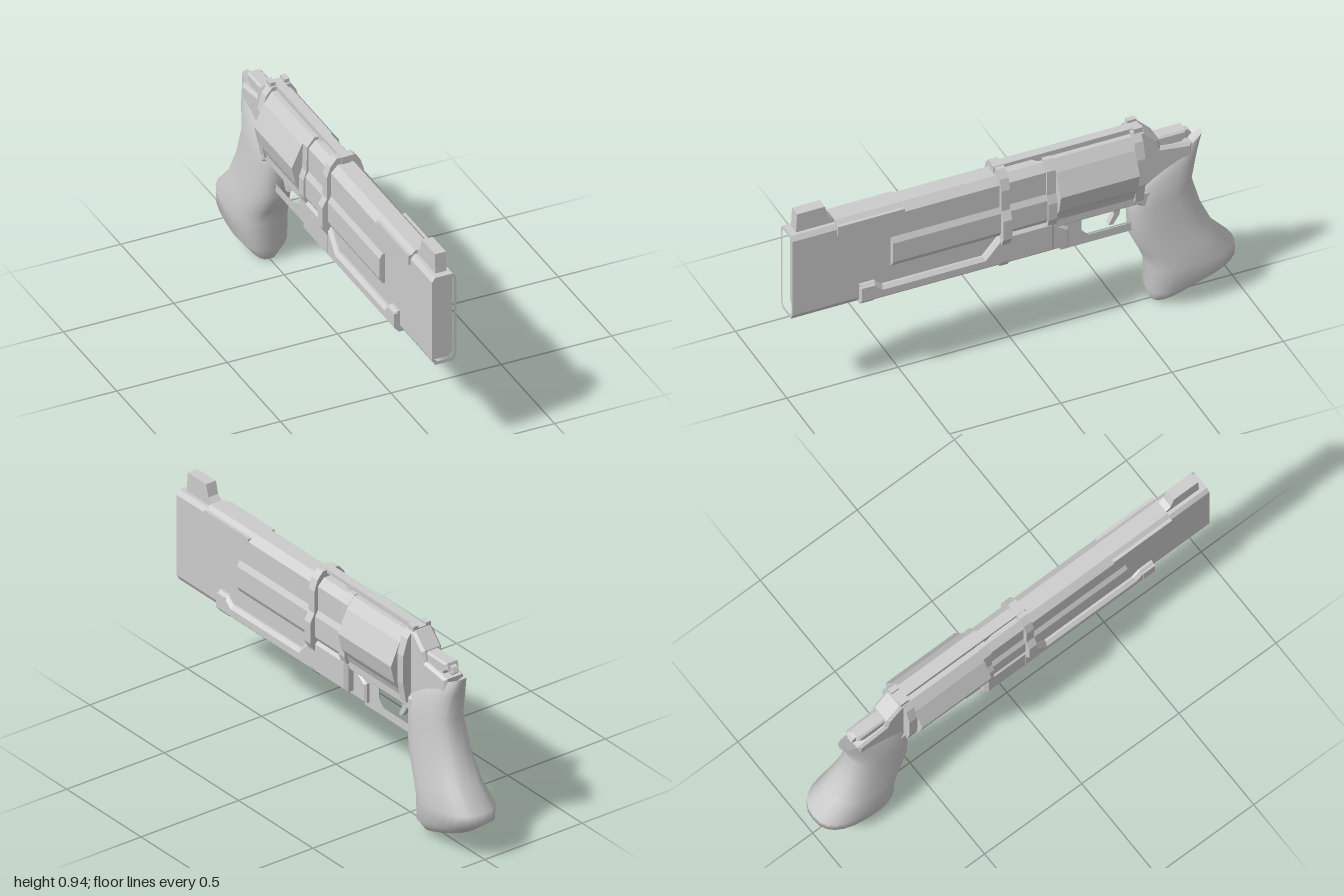
import * as THREE from 'three';

export function createModel() {
  const root = new THREE.Group();
  const flat = new THREE.MeshStandardMaterial({ color: 0xcccccc, flatShading: true });
  const smooth = new THREE.MeshStandardMaterial({ color: 0xcccccc, side: THREE.DoubleSide });

  const add = (name, geometry, material = flat) => {
    const mesh = new THREE.Mesh(geometry, material);
    mesh.name = name;
    root.add(mesh);
    return mesh;
  };
  const toShape = pts => new THREE.Shape(pts.map(p => new THREE.Vector2(...p)));
  const mirrored = half => [...half, ...half.map(([x, y]) => [-x, y]).reverse()];

  // Symmetric cross-section (right half, top to bottom) swept along z
  const section = (name, half, z0, z1, hole) => {
    const shape = toShape(mirrored(half));
    if (hole) shape.holes.push(toShape(mirrored(hole)));
    const g = new THREE.ExtrudeGeometry(shape, { depth: z1 - z0, bevelEnabled: false });
    return add(name, g.translate(0, 0, z0));
  };
  // Side outline in (z, y) given a half width in x, with optional chamfer
  const plate = (name, pts, w, bevel = 0, hole) => {
    const shape = toShape(pts);
    if (hole) shape.holes.push(toShape(hole));
    const depth = 2 * (w - bevel);
    const g = new THREE.ExtrudeGeometry(shape, {
      depth, bevelEnabled: bevel > 0, bevelThickness: bevel,
      bevelSize: bevel, bevelOffset: -bevel, bevelSegments: 1,
    });
    return add(name, g.translate(0, 0, -depth / 2).rotateY(-Math.PI / 2));
  };
  const box = (name, w, y0, y1, z0, z1) =>
    add(name, new THREE.BoxGeometry(2 * w, y1 - y0, z1 - z0).translate(0, (y0 + y1) / 2, (z0 + z1) / 2));

  // Barrel with a recessed muzzle
  const barrel = [[0.04, 0.855], [0.055, 0.835], [0.055, 0.46], [0.04, 0.435]];
  const bore = [[0.032, 0.842], [0.044, 0.828], [0.044, 0.464], [0.032, 0.45]];
  section('barrel', barrel, -0.17, 0.96);
  section('muzzleRim', barrel, 0.96, 1, bore);

  // Upper shroud
  section('barrelShroud', [[0.035, 0.872], [0.066, 0.84], [0.066, 0.73], [0.08, 0.705],
    [0.08, 0.61], [0.066, 0.585]], -0.15, 0.56);
  plate('shroudNose', [[0.8, 0.855], [0.8, 0.81], [0.68, 0.81], [0.56, 0.725], [0.5, 0.725], [0.5, 0.855]], 0.066);
  section('topRib', [[0.035, 0.872], [0.066, 0.84], [0.066, 0.82]], 0.5, 0.8);

  // Lower shroud with its raised front hook
  plate('lowerShroud', [[0.7, 0.437], [0.7, 0.53], [0.635, 0.53], [0.6, 0.5], [0.15, 0.5],
    [0.07, 0.59], [-0.17, 0.59], [-0.17, 0.437]], 0.08, 0.015);
  section('lowerHook', [[0.082, 0.52], [0.082, 0.455], [0.06, 0.43]], 0.64, 0.7);
  plate('underlug', [[0.11, 0.45], [0.11, 0.43], [0.08, 0.41], [-0.25, 0.41], [-0.25, 0.5], [-0.17, 0.55], [-0.1, 0.5]], 0.04, 0.008);

  // Bands round the barrel
  section('frontBand', [[0.04, 0.902], [0.068, 0.87], [0.084, 0.82], [0.084, 0.72], [0.105, 0.68],
    [0.105, 0.585], [0.082, 0.545], [0.082, 0.46], [0.06, 0.425]], 0.035, 0.075);
  section('rearBand', [[0.04, 0.885], [0.072, 0.845], [0.076, 0.73], [0.09, 0.69],
    [0.09, 0.61], [0.078, 0.575]], -0.175, -0.135);

  // Top strap raised above the shroud, with front and rear sights
  plate('topStrap', [[0.08, 0.905], [0.08, 0.86], [0.04, 0.86], [0.04, 0.889], [-0.09, 0.889],
    [-0.13, 0.865], [-0.58, 0.865], [-0.58, 0.905]], 0.02);
  plate('frontSight', [[0.97, 0.85], [0.965, 0.945], [0.84, 0.945], [0.825, 0.89], [0.795, 0.865], [0.795, 0.85]], 0.025);
  for (const s of [-1, 1])
    box('rearSight', 0.012, 0.86, 0.917, -0.58, -0.54).position.x = s * 0.032;

  // Faceted cylinder
  section('cylinder', [[0.042, 0.882], [0.078, 0.835], [0.123, 0.735], [0.105, 0.655],
    [0.078, 0.615], [0.06, 0.57]], -0.53, -0.175);

  // Frame below and behind the cylinder
  plate('lowerFrame', [[-0.15, 0.6], [-0.17, 0.54], [-0.55, 0.54], [-0.6, 0.5], [-0.62, 0.6]], 0.065, 0.01);
  section('recoilShield', [[0.04, 0.9], [0.068, 0.865], [0.09, 0.79], [0.09, 0.66], [0.075, 0.57]], -0.57, -0.53);
  plate('rearFrame', [[-0.55, 0.9], [-0.585, 0.9], [-0.65, 0.835], [-0.66, 0.79], [-0.8, 0.77],
    [-0.8, 0.62], [-0.62, 0.5], [-0.55, 0.56]], 0.05, 0.012);

  // Hammer
  plate('hammer', [[-0.6, 0.87], [-0.65, 0.83], [-0.78, 0.83], [-0.79, 0.8], [-0.76, 0.775], [-0.6, 0.775]], 0.032, 0.008);
  plate('hammerSpur', [[-0.76, 0.822], [-0.8, 0.815], [-0.812, 0.795], [-0.79, 0.775], [-0.76, 0.79]], 0.014);

  // Trigger and guard
  plate('triggerGuard', [[-0.2, 0.55], [-0.25, 0.42], [-0.22, 0.41], [-0.22, 0.388], [-0.56, 0.388], [-0.56, 0.55]], 0.02, 0,
    [[-0.315, 0.54], [-0.315, 0.46], [-0.345, 0.427], [-0.535, 0.427], [-0.535, 0.54]]);
  plate('trigger', [[-0.45, 0.55], [-0.465, 0.49], [-0.44, 0.44], [-0.46, 0.438], [-0.488, 0.48], [-0.5, 0.55]], 0.013);

  // Grip lofted through rings: front z, front y, back z, back y, half width
  const rings = [
    [-0.6, 0.655, -0.862, 0.787, 0.04], [-0.525, 0.585, -0.835, 0.7, 0.068],
    [-0.53, 0.49, -0.81, 0.58, 0.08], [-0.538, 0.36, -0.85, 0.44, 0.09],
    [-0.585, 0.26, -0.91, 0.31, 0.108], [-0.612, 0.19, -0.998, 0.215, 0.122],
    [-0.612, 0.06, -1, 0.168, 0.118], [-0.635, 0.003, -0.92, 0.105, 0.066],
  ];
  const N = 24, pos = [], idx = [];
  const soft = v => Math.sign(v) * Math.abs(v) ** 0.8;
  for (const [fz, fy, bz, by, w] of rings)
    for (let i = 0; i < N; i++) {
      const a = (i / N) * Math.PI * 2, t = (1 - soft(Math.cos(a))) / 2;
      pos.push(w * soft(Math.sin(a)), fy + (by - fy) * t, fz + (bz - fz) * t);
    }
  for (let r = 0; r < rings.length - 1; r++)
    for (let i = 0; i < N; i++) {
      const a = r * N + i, b = r * N + (i + 1) % N;
      idx.push(a, a + N, b, b, a + N, b + N);
    }
  const capRing = (r, top) => {
    const [fz, fy, bz, by] = rings[r], c = pos.length / 3;
    // Separate rim vertices keep the cap edge sharp
    const rim = pos.slice(r * N * 3, (r + 1) * N * 3);
    pos.push(0, (fy + by) / 2 - (top ? 0.02 : 0.012), (fz + bz) / 2, ...rim);
    for (let i = 0; i < N; i++) {
      const a = c + 1 + i, b = c + 1 + (i + 1) % N;
      idx.push(c, ...(top ? [a, b] : [b, a]));
    }
  };
  capRing(0, true);
  capRing(rings.length - 1, false);
  const grip = new THREE.BufferGeometry();
  grip.setAttribute('position', new THREE.Float32BufferAttribute(pos, 3));
  grip.setIndex(idx);
  grip.computeVertexNormals();
  add('grip', grip, smooth);

  return root;
}
